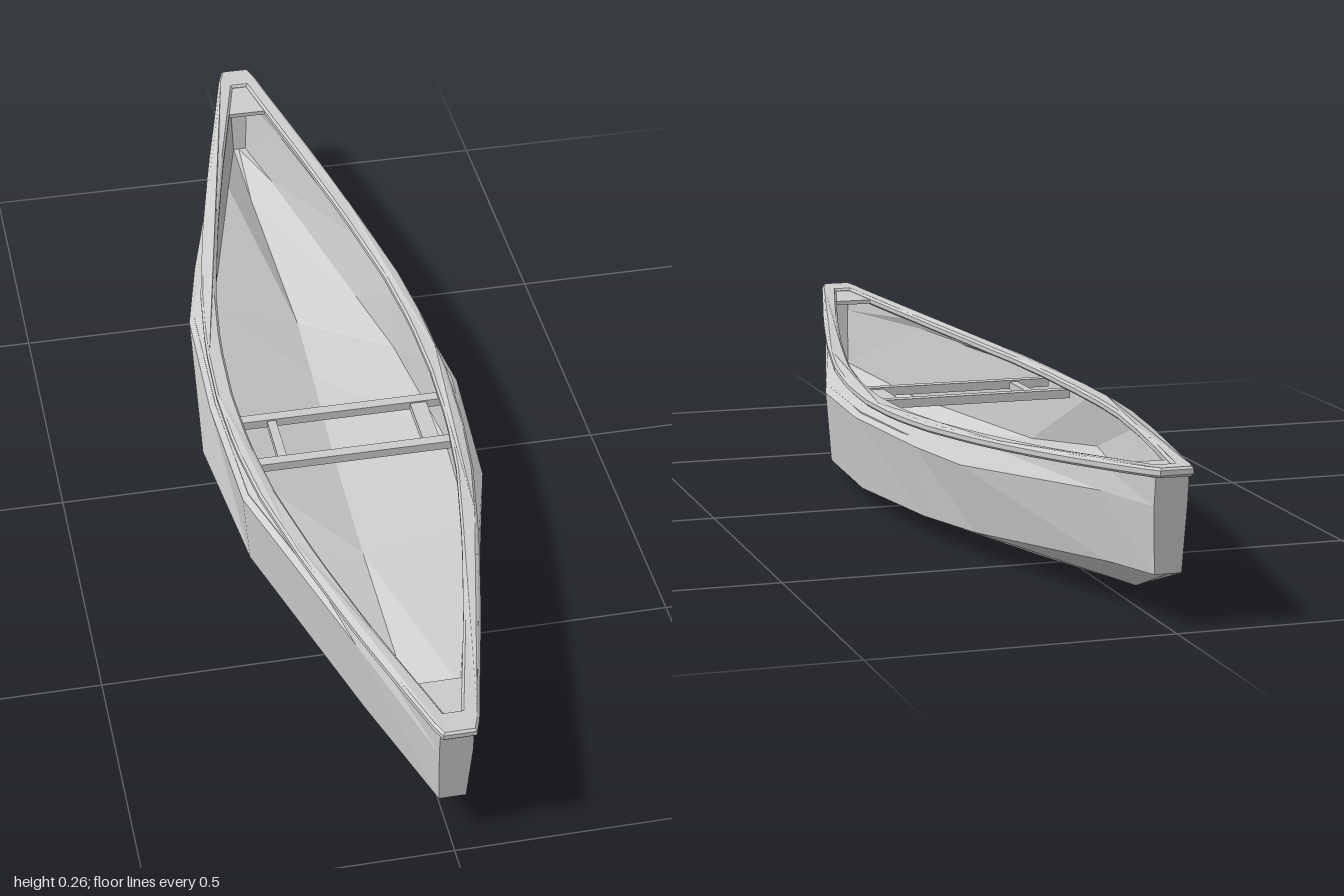
import * as THREE from 'three';

const material = new THREE.MeshStandardMaterial({ color: 0xcccccc, flatShading: true, side: THREE.DoubleSide });
const CX = 0.003; // the rail sits a touch off centre

// Half width of the rail against distance from midships
const WIDTHS = [[0, 0.213], [0.15, 0.208], [0.3, 0.191], [0.5, 0.153], [0.7, 0.107], [0.86, 0.066], [0.97, 0.038], [1, 0.027]];
function halfWidth(z) {
  const a = Math.min(Math.abs(z), 1);
  const i = Math.max(1, WIDTHS.findIndex(w => w[0] >= a));
  const [z0, w0] = WIDTHS[i - 1], [z1, w1] = WIDTHS[i];
  return w0 + (w1 - w0) * (a - z0) / (z1 - z0);
}
// Height of the rail top, rising towards both ends
const sheer = z => 0.207 + 0.058 * Math.pow(Math.abs(z), 1.7);

// Faceted hull: z, left shoulder, left chine, keel, right chine, right shoulder (x, y each)
const STATIONS = [
  [-0.965, -0.024, 0.2, -0.02, 0.09, 0.002, 0.09, 0.025, 0.09, 0.031, 0.2],
  [-0.84, -0.064, 0.2, -0.053, 0.08, 0.008, 0.042, 0.056, 0.085, 0.068, 0.2],
  [-0.45, -0.175, 0.17, -0.152, 0.06, 0.035, 0.003, 0.152, 0.052, 0.178, 0.17],
  [-0.28, -0.214, 0.17, -0.2, 0.068, 0.03, 0.003, 0.19, 0.046, 0.207, 0.17],
  [0, -0.222, 0.175, -0.238, 0.08, 0.02, 0.005, 0.224, 0.04, 0.237, 0.172],
  [0.27, -0.211, 0.18, -0.2, 0.046, 0.01, 0.008, 0.21, 0.038, 0.22, 0.168],
  [0.7, -0.1, 0.2, -0.086, 0.06, 0.005, 0.012, 0.091, 0.06, 0.106, 0.2],
  [0.965, -0.024, 0.2, -0.02, 0.09, 0.002, 0.09, 0.025, 0.09, 0.031, 0.2],
];

// One skin of the hull, drawn in by the given thickness
function hullSkin(thickness) {
  const pos = [], idx = [], n = 7, last = STATIONS.length - 1;
  STATIONS.forEach(([z, ...p], s) => {
    const w = halfWidth(z) - 0.012, top = sheer(z) - 0.012;
    const pts = [[CX - w, top]];
    for (let k = 0; k < p.length; k += 2) pts.push([p[k], p[k + 1]]);
    pts.push([CX + w, top]);
    for (const [x, y] of pts) {
      const rake = s === 0 || s === last ? Math.sign(z) * 0.1 * (y - 0.09) : 0;
      const inset = Math.min(thickness, Math.abs(x) * 0.5);
      pos.push(x - Math.sign(x) * inset, y === top ? y : y + thickness, (z + rake) * (1 - thickness));
    }
  });
  const tri = (a, b, c) => thickness ? idx.push(a, c, b) : idx.push(a, b, c);
  for (let s = 0; s < last; s++) for (let j = 0; j < n - 1; j++) {
    const a = s * n + j, d = a + n;
    tri(a, a + 1, d + 1);
    tri(a, d + 1, d);
  }
  // flat stems closing both ends
  for (let j = 1; j < n - 1; j++) {
    tri(0, j + 1, j);
    tri(last * n, last * n + j, last * n + j + 1);
  }
  const g = new THREE.BufferGeometry();
  g.setAttribute('position', new THREE.Float32BufferAttribute(pos, 3));
  g.setIndex(idx);
  const flat = g.toNonIndexed();
  flat.computeVertexNormals();
  return flat;
}

// Closed outline following the rail, drawn in by inset, for z from z0 to z1
function outline(inset, z0, z1, steps) {
  const right = [], left = [];
  for (let i = 0; i <= steps; i++) {
    const z = z0 + (z1 - z0) * i / steps;
    const w = Math.max(halfWidth(z) - inset, 0.008);
    right.push(new THREE.Vector2(CX + w, -z));
    left.unshift(new THREE.Vector2(CX - w, -z));
  }
  return [...right, ...left];
}

// Extrude a plan shape upwards and bend it along the sheer, with its top at the given drop
function bentPlate(shape, height, drop, bevel) {
  const g = new THREE.ExtrudeGeometry(shape, {
    depth: height - 2 * bevel, bevelEnabled: bevel > 0, bevelSize: bevel,
    bevelThickness: bevel, bevelOffset: -bevel, bevelSegments: 1,
  });
  g.rotateX(-Math.PI / 2);
  const p = g.attributes.position;
  for (let i = 0; i < p.count; i++) {
    p.setY(i, p.getY(i) + sheer(p.getZ(i)) - drop - height + bevel);
  }
  g.computeVertexNormals();
  return g;
}

export function createModel() {
  const model = new THREE.Group();
  model.name = 'canoe';
  const add = (name, geometry, x = 0, y = 0, z = 0) => {
    const mesh = new THREE.Mesh(geometry, material);
    mesh.name = name;
    mesh.position.set(x, y, z);
    model.add(mesh);
  };

  add('hullOuter', hullSkin(0));
  add('hullInner', hullSkin(0.01));

  // Gunwale rail running all the way round
  const rail = new THREE.Shape([
    ...outline(0, -0.97, 0.97, 32).slice(0, 33),
    new THREE.Vector2(CX + 0.027, -1), new THREE.Vector2(CX - 0.027, -1),
    ...outline(0, -0.97, 0.97, 32).slice(33),
    new THREE.Vector2(CX - 0.027, 1), new THREE.Vector2(CX + 0.027, 1),
  ]);
  rail.holes.push(new THREE.Path(outline(0.03, -0.945, 0.945, 32).reverse()));
  add('gunwale', bentPlate(rail, 0.016, 0, 0.004));

  // Small decks set into the rail at each end
  add('bowDeck', bentPlate(new THREE.Shape(outline(0.022, 0.86, 0.965, 3)), 0.008, 0.005, 0));
  add('sternDeck', bentPlate(new THREE.Shape(outline(0.022, -0.965, -0.86, 3)), 0.008, 0.005, 0));

  // Seat frame: two thwarts joined by two short bars
  for (const z of [0.06, 0.185]) {
    add('thwart', new THREE.BoxGeometry(0.39, 0.016, 0.02), CX, 0.182, z);
  }
  add('seatBarRight', new THREE.BoxGeometry(0.016, 0.014, 0.125), -0.122, 0.18, 0.1225);
  add('seatBarLeft', new THREE.BoxGeometry(0.03, 0.014, 0.125), 0.148, 0.18, 0.1225);

  return model;
}
